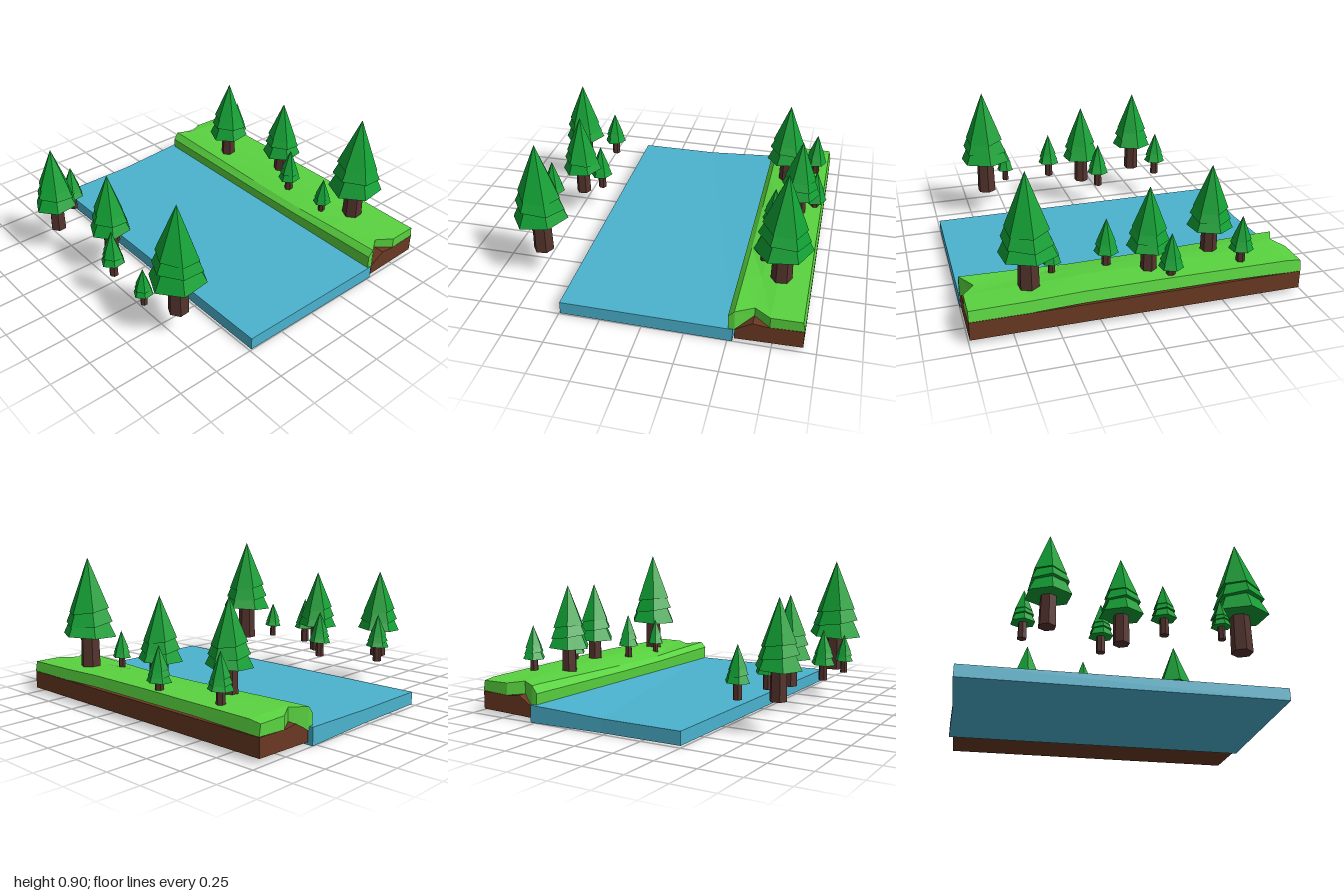
import * as THREE from 'three';

const mat = (name, color) => {
  const m = new THREE.MeshStandardMaterial({ color });
  m.name = name;
  return m;
};

// Faceted mesh: unshared vertices give each face its own normal
function facet(geometry, material, name) {
  const g = geometry.index ? geometry.toNonIndexed() : geometry;
  g.computeVertexNormals();
  const mesh = new THREE.Mesh(g, material);
  mesh.name = name;
  return mesh;
}

// Closed slab from rows (back to front) of columns (left to right) of [top, bottom] points
function slab(rows) {
  const pos = [];
  const quad = (a, b, c, d) => pos.push(...a, ...b, ...c, ...a, ...c, ...d);
  const last = rows.length - 1, end = rows[0].length - 1;
  for (let j = 0; j < last; j++) {
    const r = rows[j], s = rows[j + 1];
    for (let i = 0; i < end; i++) {
      quad(r[i][0], s[i][0], s[i + 1][0], r[i + 1][0]);
      quad(r[i][1], r[i + 1][1], s[i + 1][1], s[i][1]);
    }
    quad(r[0][0], r[0][1], s[0][1], s[0][0]);
    quad(r[end][0], s[end][0], s[end][1], r[end][1]);
  }
  for (let i = 0; i < end; i++) {
    const b = rows[0], f = rows[last];
    quad(b[i][0], b[i + 1][0], b[i + 1][1], b[i][1]);
    quad(f[i][0], f[i][1], f[i + 1][1], f[i + 1][0]);
  }
  const g = new THREE.BufferGeometry();
  g.setAttribute('position', new THREE.Float32BufferAttribute(pos, 3));
  return g;
}

// Full-size pine, 0.72 tall, standing on y = 0
function makeTree(trunkMat, leafMat) {
  const tree = new THREE.Group();
  const trunk = facet(new THREE.CylinderGeometry(0.058, 0.064, 0.27, 6), trunkMat, 'trunk');
  trunk.position.y = 0.135;
  trunk.rotation.y = 0.6;
  tree.add(trunk);
  // [top radius, bottom radius, bottom y, top y, tilt x, tilt z]
  const tiers = [
    [0.1, 0.172, 0.23, 0.38, 0.02, 0.06],
    [0.07, 0.152, 0.315, 0.5, 0.05, -0.12],
    [0, 0.13, 0.39, 0.72, -0.05, -0.13],
  ];
  tiers.forEach(([r1, r2, y1, y2, tx, tz], i) => {
    const g = new THREE.CylinderGeometry(r1, r2, y2 - y1, 6);
    g.rotateY(0.61);
    // Shear the skirt so its hem slants while the tip stays put
    const p = g.attributes.position;
    for (let k = 0; k < p.count; k++) {
      p.setY(k, p.getY(k) + p.getX(k) * tz + p.getZ(k) * tx);
    }
    const tier = facet(g, leafMat, 'foliageTier' + (i + 1));
    tier.position.y = (y1 + y2) / 2;
    tree.add(tier);
  });
  return tree;
}

export function createModel() {
  const model = new THREE.Group();
  const water = mat('water blue', 0x4bb3cf);
  const grass = mat('grass green', 0x59d33f);
  const dirt = mat('dirt brown', 0x6a3822);
  const leaf = mat('pine green', 0x10a034);
  const bark = mat('bark brown', 0x54332d);

  // Water sheet, lifted at the far corner beside the bank
  const waterXs = [-0.49, 0.03, 0.53];
  const waterRows = [[-0.98, -0.98, -1], [1, 1, 1]].map((zs, j) =>
    waterXs.map((x, i) => [[x, j === 0 && i === 2 ? 0.105 : 0.085, zs[i]], [x, 0.003 * (2 - i), zs[i]]]));
  model.add(facet(slab(waterRows), water, 'water'));

  // Dirt bank: [x, top y, bottom y] per column
  const dirtCols = [[0.54, 0.085, 0.02], [0.58, 0.11, 0.021], [0.64, 0.145, 0.023], [0.72, 0.135, 0.025], [0.925, 0.14, 0.03]];
  const dirtRows = [-0.975, 0.995].map((z) => dirtCols.map(([x, t, b]) => [[x, t, z], [x, b, z]]));
  model.add(facet(slab(dirtRows), dirt, 'dirtBank'));

  // Grass cover: [top x, bottom x, bottom y, end inset] per column
  const grassCols = [[0.5, 0.505, 0.08, 0], [0.535, 0.54, 0.085, 0], [0.64, 0.64, 0.144, 0.07], [0.735, 0.735, 0.136, 0], [0.915, 0.927, 0.143, 0]];
  // [z, top y for each column]
  const grassTops = [
    [-0.975, 0.17, 0.215, 0.222, 0.21, 0.208],
    [-0.9, 0.17, 0.215, 0.225, 0.222, 0.218],
    [-0.5, 0.165, 0.205, 0.22, 0.225, 0.22],
    [-0.1, 0.16, 0.195, 0.215, 0.225, 0.222],
    [0.35, 0.16, 0.19, 0.21, 0.222, 0.22],
    [0.65, 0.165, 0.2, 0.2, 0.208, 0.21],
    [0.995, 0.17, 0.208, 0.2, 0.203, 0.205],
  ];
  const grassRows = grassTops.map(([z, ...tops], j) => grassCols.map(([tx, bx, by, inset], i) => {
    const cz = j === 0 ? z + inset * 0.8 : j === grassTops.length - 1 ? z - inset : z;
    const bottom = by + (i === 4 && Math.abs(z) < 0.6 ? 0.01 : 0);
    return [[tx, tops[i], cz], [bx, bottom, cz]];
  }));
  model.add(facet(slab(grassRows), grass, 'grassCover'));

  // Pines: [x, z, base y, scale], repeated on the far shore
  const pines = [
    [0.75, 0.63, 0.18, 1],
    [0.625, 0.47, 0.19, 0.345],
    [0.64, 0.145, 0.195, 0.435],
    [0.77, -0.07, 0.185, 0.765],
    [0.87, -0.17, 0.17, 0.43],
    [0.645, -0.5, 0.19, 0.8],
    [0.835, -0.62, 0.2, 0.43],
  ];
  for (const [side, shift] of [['left', 0], ['right', -1.47]]) {
    pines.forEach(([x, z, y, s], i) => {
      const tree = makeTree(bark, leaf);
      tree.name = side + 'Pine' + (i + 1);
      tree.position.set(x + shift, y, z);
      tree.scale.setScalar(s);
      model.add(tree);
    });
  }
  return model;
}
